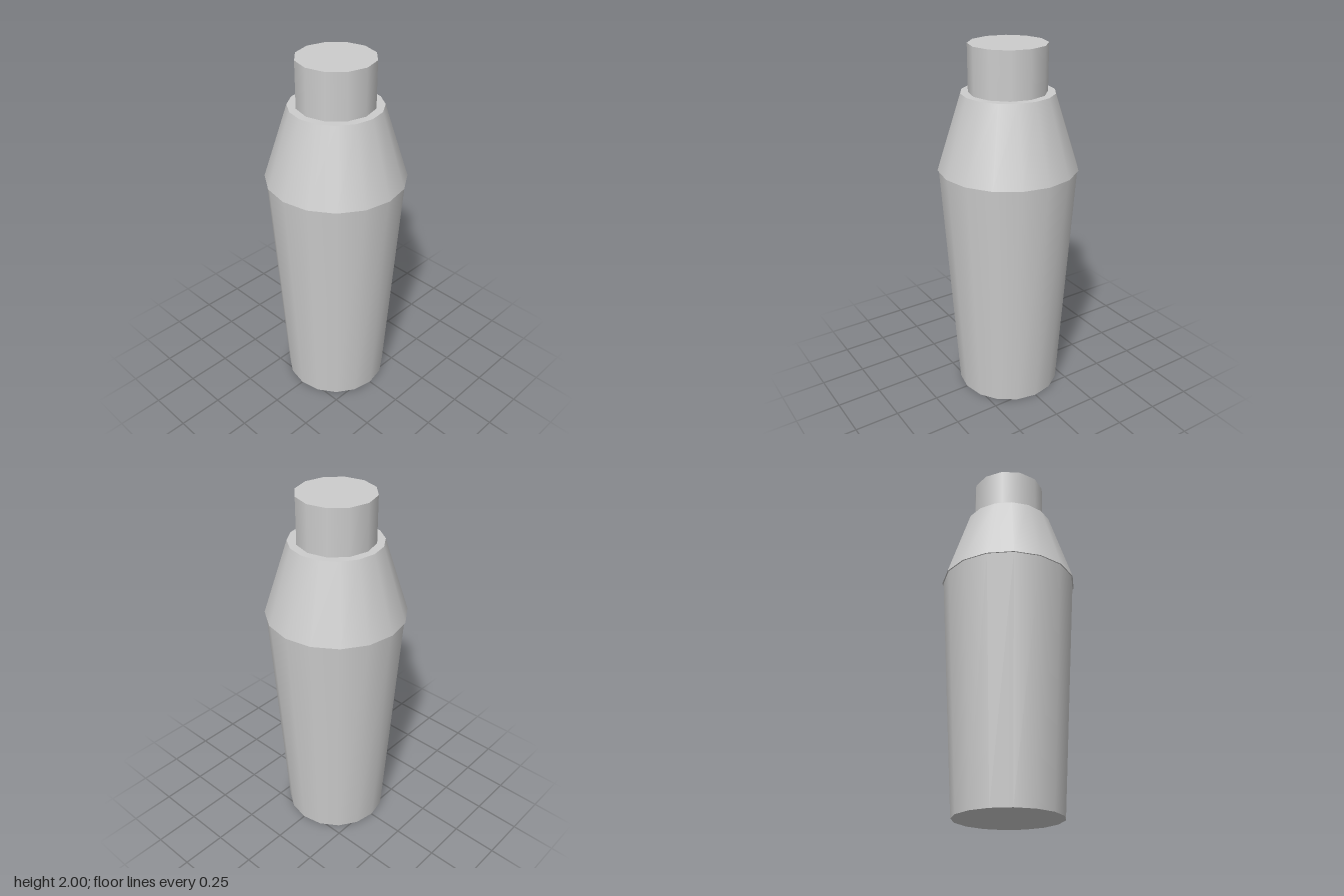
import * as THREE from 'three';

const material = new THREE.MeshStandardMaterial({ color: 0xcccccc });

// Capped tapered section from height y0 to y1
function section(name, bottomRadius, topRadius, y0, y1, sides) {
  const geometry = new THREE.CylinderGeometry(topRadius, bottomRadius, y1 - y0, sides);
  const mesh = new THREE.Mesh(geometry, material);
  mesh.name = name;
  mesh.position.y = (y0 + y1) / 2;
  return mesh;
}

export function createModel() {
  const group = new THREE.Group();
  group.name = 'cocktailShaker';
  group.add(
    // Tapered cup
    section('cup', 0.292, 0.375, 0, 1.34, 16),
    // Strainer shoulder, slightly overhanging the cup
    section('shoulder', 0.382, 0.25, 1.34, 1.75, 16),
    // Straight cap
    section('cap', 0.208, 0.208, 1.75, 2, 12)
  );
  return group;
}
